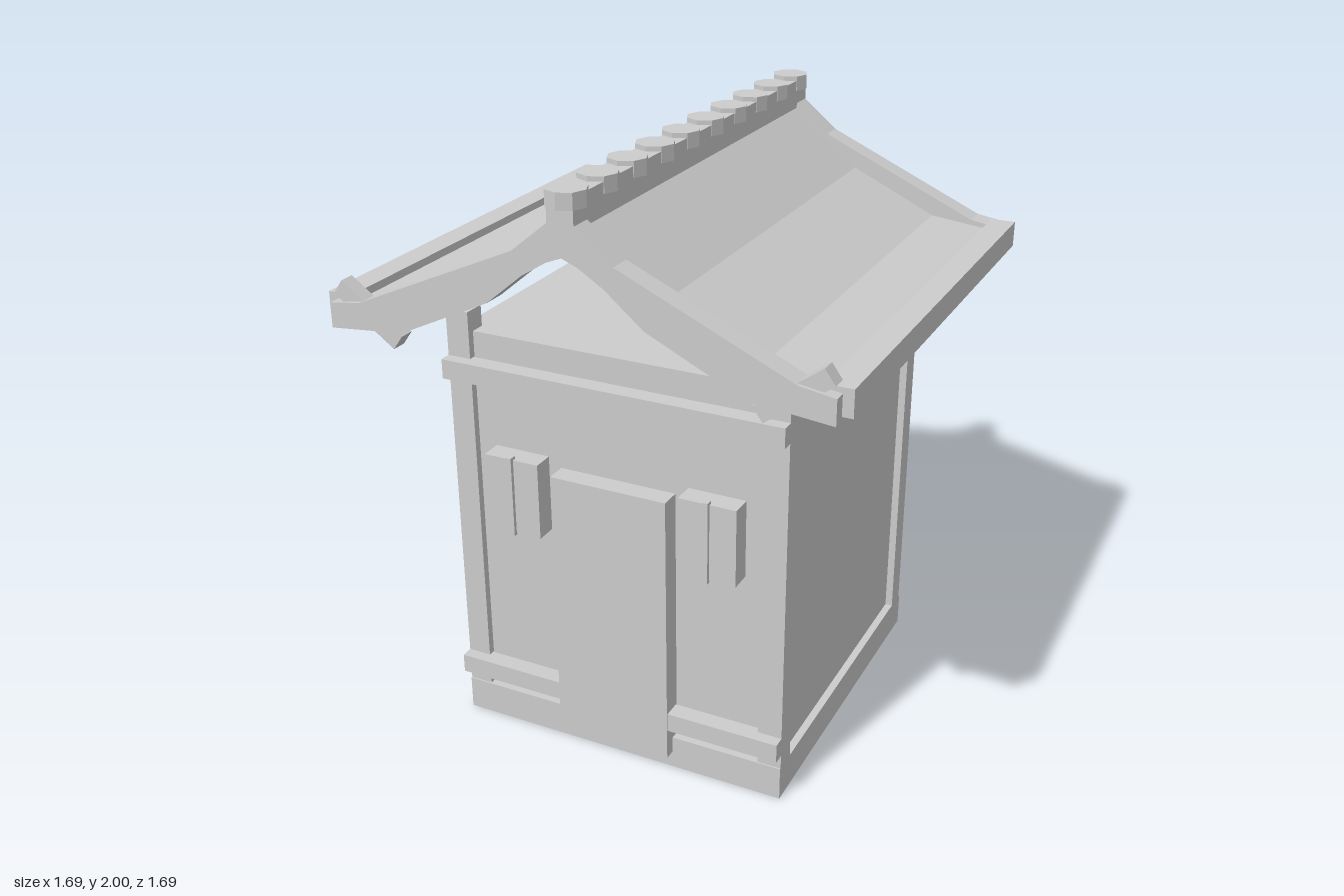
import * as THREE from 'three';

const stone = new THREE.MeshStandardMaterial({ color: 0xcccccc, flatShading: true });
stone.name = 'plain grey';

export function createModel() {
  const model = new THREE.Group();
  model.name = 'gateHouse';

  const add = (name, geometry) => {
    const mesh = new THREE.Mesh(geometry, stone);
    mesh.name = name;
    model.add(mesh);
    return mesh;
  };
  // Box given by its limits on each axis
  const box = (name, x0, x1, y0, y1, z0, z1) => {
    const mesh = add(name, new THREE.BoxGeometry(x1 - x0, y1 - y0, z1 - z0));
    mesh.position.set((x0 + x1) / 2, (y0 + y1) / 2, (z0 + z1) / 2);
    return mesh;
  };
  // Outline in x and y, extruded from z0 to z1
  const slab = (name, points, z0, z1) => {
    const shape = new THREE.Shape(points.map(([x, y]) => new THREE.Vector2(x, y)));
    const geometry = new THREE.ExtrudeGeometry(shape, { depth: z1 - z0, bevelEnabled: false });
    geometry.translate(0, 0, z0);
    return add(name, geometry);
  };
  // Right half profile plus its reflection, as a closed outline
  const mirrored = (upper, lower) => {
    const flip = (list) => list.map(([x, y]) => [-x, y]);
    return [...upper, ...[...lower].reverse(), ...flip(lower.slice(1)), ...flip([...upper].reverse())];
  };

  // Base and walls
  box('base', -0.58, 0.58, 0, 0.115, -0.595, 0.57);
  box('walls', -0.555, 0.555, 0.11, 1.41, -0.565, 0.54);

  // Corner posts
  for (const x of [-0.54, 0.54]) {
    for (const z of [-0.547, 0.527]) {
      box('cornerPost', x - 0.04, x + 0.04, 0.11, 1.48, z - 0.038, z + 0.038);
    }
  }

  // Front beams and door
  box('upperBeam', -0.58, 0.58, 1.26, 1.325, 0.545, 0.605);
  box('lowerBeam', -0.58, 0.58, 0.165, 0.23, 0.545, 0.605);
  box('door', -0.2, 0.2, 0.06, 1.0, 0.53, 0.61);

  // Windows with a centre bar
  for (const x of [-0.34, 0.34]) {
    box('window', x - 0.096, x + 0.096, 0.77, 1.03, 0.53, 0.612);
    box('windowBar', x - 0.008, x + 0.008, 0.765, 1.04, 0.6, 0.625);
  }

  // Curved roof sheet, sunk between the gable boards
  const sheetTop = [[0.04, 1.89], [0.27, 1.7], [0.56, 1.565], [0.78, 1.54]];
  const sheetBottom = [[0, 1.85], [0.05, 1.835], [0.27, 1.66], [0.56, 1.525], [0.78, 1.5]];
  slab('roofSheet', mirrored(sheetTop, sheetBottom), -0.79, 0.79);

  // Gable boards at both ends
  const boardTop = [[0.042, 1.905], [0.16, 1.808], [0.7, 1.567], [0.81, 1.55]];
  const boardBottom = [[0, 1.81], [0.05, 1.79], [0.13, 1.74], [0.25, 1.64], [0.555, 1.495], [0.81, 1.47]];
  slab('frontGableBoard', mirrored(boardTop, boardBottom), 0.75, 0.825);
  slab('backGableBoard', mirrored(boardTop, boardBottom), -0.83, -0.75);

  for (const side of [-1, 1]) {
    // Eave boards along the lower edges
    const eave = box('eaveBoard', 0.76, 0.843, 1.483, 1.568, -0.79, 0.785);
    eave.position.x *= side;
    // Slanted pegs crossing the front gable board
    const peg = add('gablePeg', new THREE.BoxGeometry(0.25, 0.055, 0.05));
    peg.position.set(side * 0.683, 1.528, 0.79);
    peg.position.z = 0.788;
    peg.rotation.z = side * Math.atan2(0.147, 0.205);
  }

  // Ridge beam and its row of round tile caps
  box('ridgeBeam', -0.042, 0.042, 1.86, 1.985, -0.83, 0.825);
  for (let i = 0; i < 10; i++) {
    const cap = add('ridgeCap', new THREE.CylinderGeometry(0.062, 0.062, 0.05, 8));
    cap.position.set(0, 1.975, -0.785 + i * 0.1744);
  }

  return model;
}
